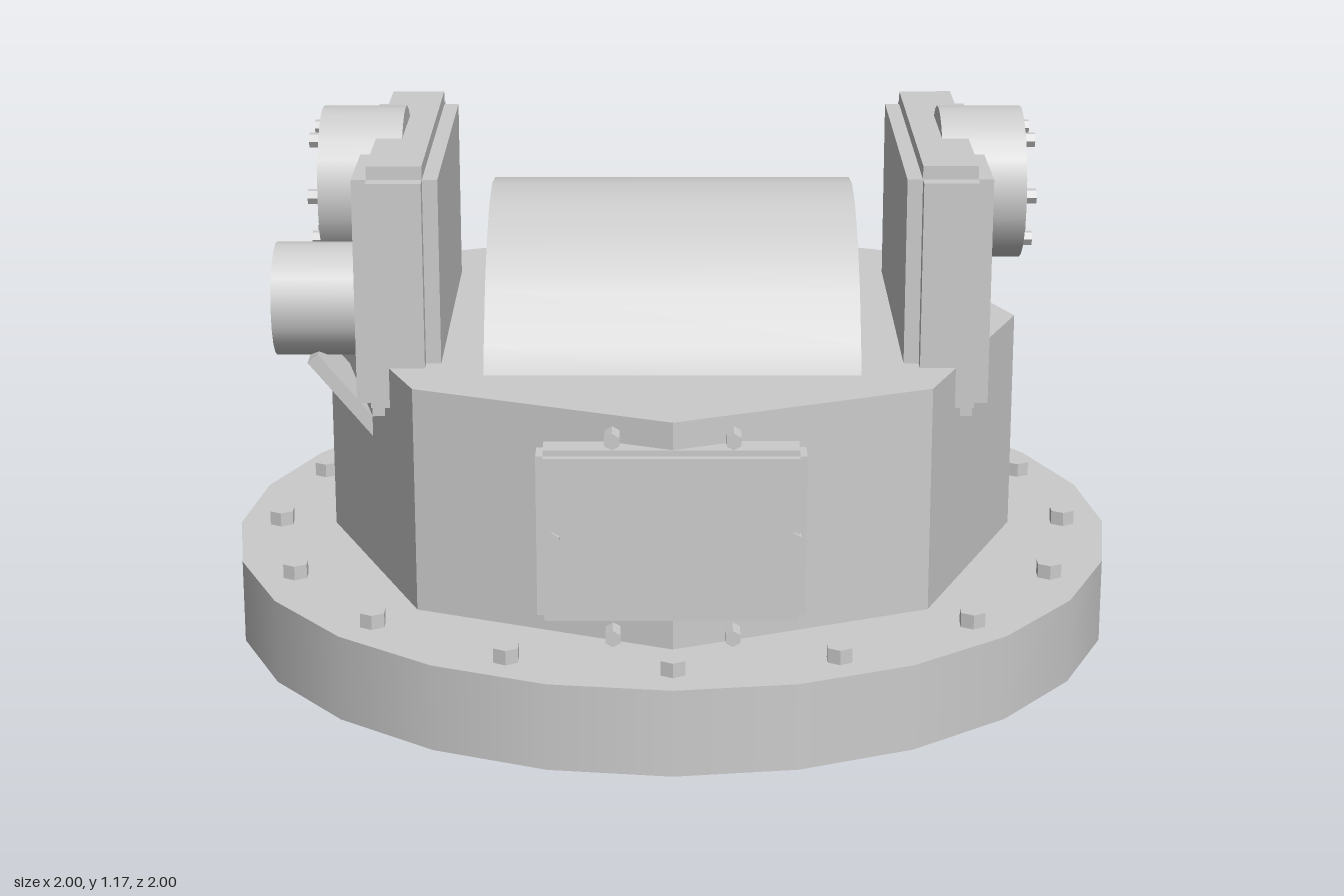
import * as THREE from 'three';

const smooth = new THREE.MeshStandardMaterial({ color: 0xcccccc });
const flat = new THREE.MeshStandardMaterial({ color: 0xcccccc, flatShading: true });

function add(parent, name, geometry, x, y, z, material = smooth) {
  const mesh = new THREE.Mesh(geometry, material);
  mesh.name = name;
  mesh.position.set(x, y, z);
  parent.add(mesh);
  return mesh;
}

// Cylinder lying along the x axis
const cylinderX = (r, length, sides) =>
  new THREE.CylinderGeometry(r, r, length, sides).rotateZ(-Math.PI / 2);

// Block with stepped edges: three crossing boxes, each full length on one axis
function steppedBlock(parent, name, size, inset, x, y, z) {
  const block = new THREE.Group();
  block.name = name;
  block.position.set(x, y, z);
  for (let axis = 0; axis < 3; axis++) {
    const dims = size.map((s, i) => (i === axis ? s : s - 2 * inset[i]));
    add(block, name + 'Layer', new THREE.BoxGeometry(...dims), 0, 0, 0);
  }
  parent.add(block);
}

export function createModel() {
  const model = new THREE.Group();
  model.name = 'turretMount';

  // Round base plate with a ring of hex bolts
  add(model, 'basePlate', new THREE.CylinderGeometry(1, 1, 0.19, 24), 0, 0.095, 0);
  const hexBolt = new THREE.CylinderGeometry(0.03, 0.03, 0.05, 6);
  for (let i = 0; i < 16; i++) {
    const a = (i * Math.PI) / 8;
    add(model, 'baseBolt', hexBolt, 0.905 * Math.sin(a), 0.197, 0.905 * Math.cos(a), flat);
  }

  // Octagonal housing and the drum sunk into it
  add(model, 'housing', new THREE.CylinderGeometry(0.78, 0.78, 0.5, 8), 0, 0.44, 0, flat);
  add(model, 'drum', cylinderX(0.5, 0.81, 24), 0, 0.5, 0);

  // Side supports, each with a bolted hub cap
  const hubBolt = cylinderX(0.017, 0.05, 6);
  for (const side of [-1, 1]) {
    const support = new THREE.Group();
    support.name = side > 0 ? 'leftSupport' : 'rightSupport';
    steppedBlock(support, 'sidePlate', [0.185, 0.56, 0.81], [0.033, 0.03, 0.035], side * 0.594, 0.85, 0);
    add(support, 'hubCap', cylinderX(0.17, 0.185, 24), side * 0.688, 1.005, 0);
    for (let i = 0; i < 6; i++) {
      const a = (i * Math.PI) / 3;
      add(support, 'hubBolt', hubBolt, side * 0.78, 1.003 + 0.13 * Math.sin(a), 0.13 * Math.cos(a), flat);
    }
    model.add(support);
  }

  // Motor on the right-hand support, braced by a sloping strut
  add(model, 'motor', cylinderX(0.125, 0.23, 20), -0.76, 0.785, 0.185);
  const strut = add(model, 'motorStrut', new THREE.BoxGeometry(0.03, 0.22, 0.15), -0.72, 0.59, 0.21);
  strut.rotation.z = 0.69;

  // Front access hatch with its ring of bolts
  steppedBlock(model, 'hatch', [0.56, 0.375, 0.09], [0.015, 0.013, 0.015], -0.003, 0.443, 0.752);
  const hatchBolt = new THREE.CylinderGeometry(0.018, 0.018, 0.05, 6).rotateX(Math.PI / 2);
  for (let i = 0; i < 6; i++) {
    const a = (i * Math.PI) / 3;
    add(model, 'hatchBolt', hatchBolt, 0.25 * Math.cos(a), 0.44 + 0.2165 * Math.sin(a) / Math.sin(Math.PI / 3), 0.78, flat);
  }

  return model;
}
